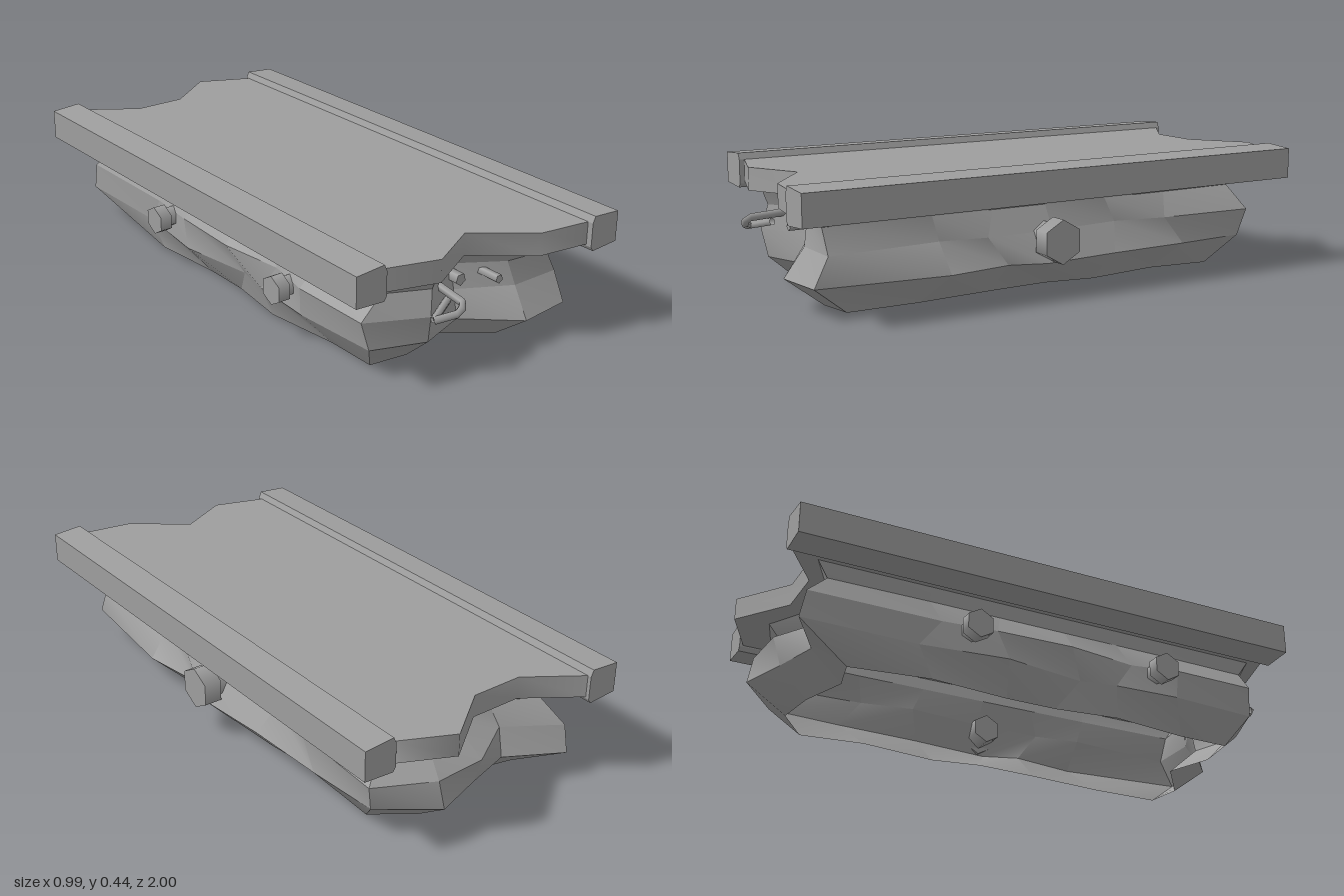
import * as THREE from 'three';
import { toCreasedNormals } from 'three/addons/utils/BufferGeometryUtils.js';

const stone = new THREE.MeshStandardMaterial({ color: 0x9e9e9e });
const stoneOpen = new THREE.MeshStandardMaterial({ color: 0x9e9e9e, side: THREE.DoubleSide });

function addMesh(parent, name, geometry, material = stone) {
  const mesh = new THREE.Mesh(geometry, material);
  mesh.name = name;
  parent.add(mesh);
  return mesh;
}

// Levels of the rubble shell: height, x and z of the broken ends, half width on each flank, roughness
const LEVELS = [
  { y: 0, x: [0.30, 0.17, 0, -0.16, -0.30], front: [0.77, 0.79, 0.66, 0.72, 0.70], back: [-0.75, -0.72, -0.78, -0.80, -0.70], right: 0.32, left: 0.285, rough: 0.02 },
  { y: 0.105, x: [0.365, 0.17, 0, -0.18, -0.365], front: [0.91, 0.93, 0.78, 0.84, 0.77], back: [-0.94, -0.83, -0.88, -0.94, -0.80], right: 0.37, left: 0.40, rough: 0.025 },
  { y: 0.205, x: [0.365, 0.18, 0, -0.19, -0.39], front: [0.86, 0.86, 0.76, 0.86, 0.76], back: [-0.92, -0.80, -0.91, -0.92, -0.82], right: 0.38, left: 0.355, rough: 0.02 },
  { y: 0.29, x: [0.32, 0.16, 0, -0.17, -0.32], front: [0.86, 0.84, 0.74, 0.84, 0.77], back: [-0.84, -0.76, -0.75, -0.84, -0.78], right: 0.325, left: 0.325, rough: 0 },
  { y: 0.34, x: [0.335, 0.17, 0, -0.17, -0.335], front: [0.90, 0.88, 0.77, 0.86, 0.80], back: [-0.88, -0.79, -0.78, -0.88, -0.82], right: 0.335, left: 0.335, rough: 0 },
];
const FLANK_Z = [0.47, 0.24, 0.03, -0.22, -0.48];

// Outline of one level: front end, right flank, back end, left flank
function rubbleRing({ y, x, front, back, right, left, rough }, l) {
  const flank = (sign, halfWidth) => FLANK_Z.map((z, i) => [
    sign * (halfWidth + rough * Math.sin(i * 2.3 + l * 1.7 + sign)),
    y,
    z + rough * 2 * Math.cos(i * 1.9 + l * 2.1),
  ]);
  return [
    ...front.map((z, i) => [x[i], y, z]),
    ...flank(-1, right),
    ...back.map((z, i) => [-x[i], y, z]),
    ...flank(1, left).reverse(),
  ];
}

// Open rubble shell; every four-sided facet keeps its own normals
function rubbleGeometry() {
  const rings = LEVELS.map(rubbleRing);
  const positions = [];
  const index = [];
  for (let l = 0; l < rings.length - 1; l++) {
    for (let i = 0; i < rings[l].length; i++) {
      const j = (i + 1) % rings[l].length;
      const n = positions.length / 3;
      positions.push(...rings[l][i], ...rings[l][j], ...rings[l + 1][j], ...rings[l + 1][i]);
      index.push(n, n + 2, n + 1, n, n + 3, n + 2);
    }
  }
  const geometry = new THREE.BufferGeometry();
  geometry.setAttribute('position', new THREE.Float32BufferAttribute(positions, 3));
  geometry.setIndex(index);
  geometry.computeVertexNormals();
  return geometry;
}

// Deck slab with broken, jagged ends
function deckGeometry() {
  const outline = [
    [-0.38, 0.84], [-0.19, 0.90], [0, 0.80], [0.19, 0.95], [0.38, 0.98],
    [0.38, -0.91], [0.19, -1.0], [0, -0.86], [-0.19, -0.86], [-0.38, -0.99],
  ];
  const shape = new THREE.Shape(outline.map(([x, z]) => new THREE.Vector2(x, -z)));
  const geometry = new THREE.ExtrudeGeometry(shape, { depth: 0.08, bevelEnabled: false });
  geometry.rotateX(-Math.PI / 2).translate(0, 0.34, 0);
  return toCreasedNormals(geometry, 1.2);
}

// Edge beam with a slightly tapered section
function beamGeometry(sign, zBack, zFront) {
  const section = [
    [0.375, 0.335], [0.385, 0.32], [0.494, 0.327], [0.494, 0.435], [0.385, 0.443], [0.375, 0.42],
  ];
  const shape = new THREE.Shape(section.map(([x, y]) => new THREE.Vector2(sign * x, y)));
  return new THREE.ExtrudeGeometry(shape, { depth: zFront - zBack, bevelEnabled: false }).translate(0, 0, zBack);
}

// Hexagonal bolt pointing sideways out of the rubble, standing on a corner
function addBolt(parent, name, sign, z, headRadius, headOuter, shaftRadius) {
  const bolt = new THREE.Group();
  bolt.name = name;
  const rod = (part, radius, from, to) => {
    const geometry = new THREE.CylinderGeometry(radius, radius, to - from, 6);
    geometry.rotateZ(Math.PI / 2).rotateX(Math.PI / 2);
    addMesh(bolt, part, geometry).position.x = sign * (from + to) / 2;
  };
  rod('boltHead', headRadius, 0.405, headOuter);
  rod('boltShaft', shaftRadius, 0.33, 0.405);
  bolt.position.set(0, 0.183, z);
  parent.add(bolt);
}

// Reinforcing rod running straight from point to point
function rodGeometry(points) {
  const corners = points.map((p) => new THREE.Vector3(...p));
  const path = new THREE.CurvePath();
  for (let i = 0; i < corners.length - 1; i++) path.add(new THREE.LineCurve3(corners[i], corners[i + 1]));
  return new THREE.TubeGeometry(path, 10, 0.014, 5, false);
}

export function createModel() {
  const model = new THREE.Group();
  model.name = 'brokenRoadSegment';

  addMesh(model, 'deck', deckGeometry());
  addMesh(model, 'leftBeam', beamGeometry(1, -0.925, 1));
  addMesh(model, 'rightBeam', beamGeometry(-1, -1, 0.86));
  addMesh(model, 'rubbleShell', rubbleGeometry(), stoneOpen);

  // One large bolt on the left, two small ones on the right
  addBolt(model, 'largeBolt', 1, 0.05, 0.077, 0.47, 0.055);
  for (const z of [0.37, -0.35]) addBolt(model, 'smallBolt', -1, z, 0.052, 0.45, 0.038);

  // Bent reinforcing rod at the front
  addMesh(model, 'bentRod', rodGeometry([
    [-0.11, 0.27, 0.80], [-0.12, 0.26, 0.935], [-0.145, 0.235, 0.935], [-0.21, 0.215, 0.895],
  ]), stoneOpen);
  addMesh(model, 'bentRodReturn', rodGeometry([[-0.21, 0.215, 0.895], [-0.11, 0.24, 0.85]]), stoneOpen);

  // Cut rod stubs at the front
  for (const [x, y, z, radius] of [[0.09, 0.259, 0.815, 0.016], [-0.008, 0.257, 0.74, 0.022]]) {
    const geometry = new THREE.CylinderGeometry(radius, radius, 0.12, 5).rotateX(Math.PI / 2);
    addMesh(model, 'rodStub', geometry).position.set(x, y, z);
  }

  return model;
}
